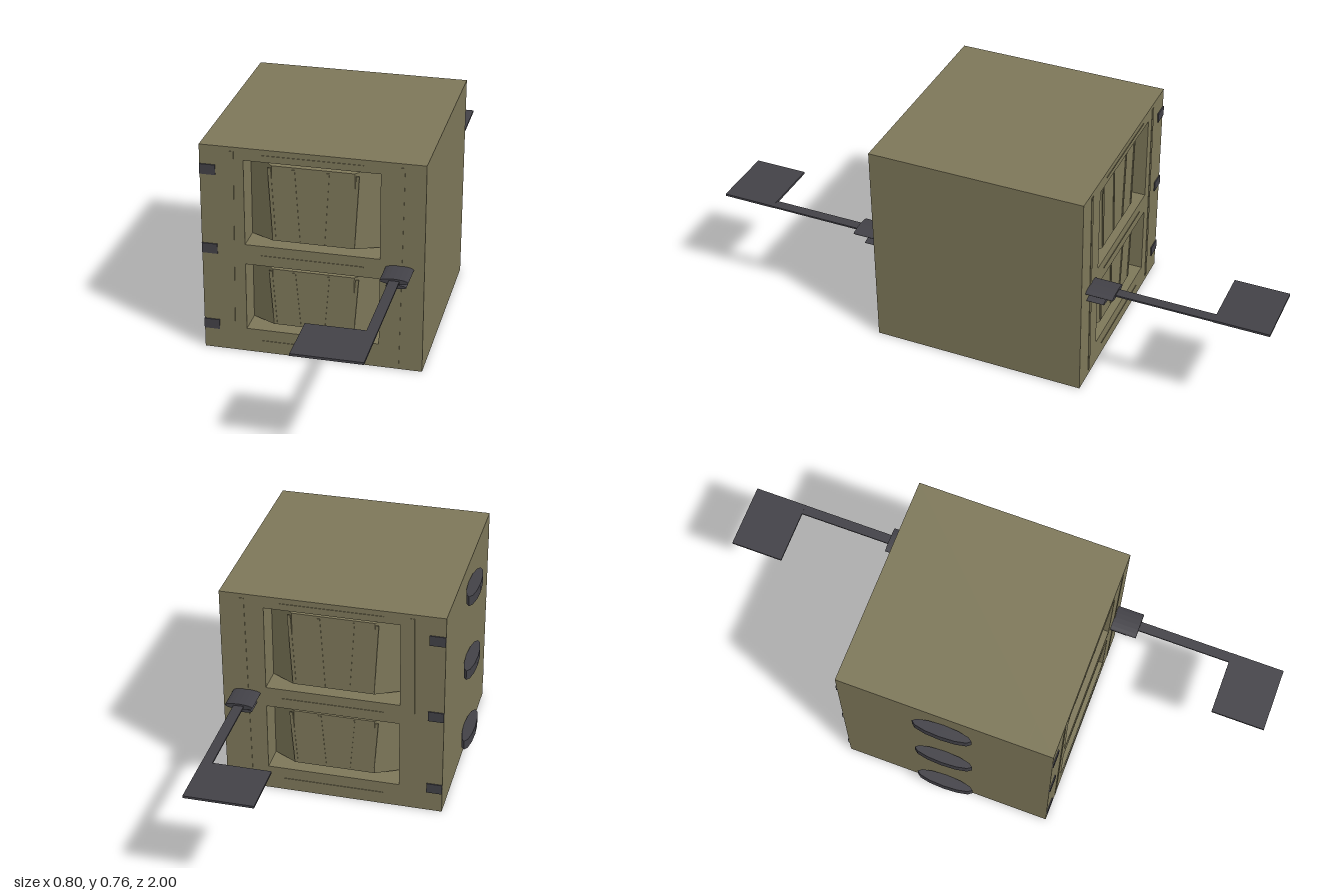
import * as THREE from 'three';
import { ConvexGeometry } from 'three/addons/geometries/ConvexGeometry.js';

const wood = new THREE.MeshStandardMaterial({ color: 0x7d7759, side: THREE.DoubleSide });
wood.name = 'olive wood';
const metal = new THREE.MeshStandardMaterial({ color: 0x424147 });
metal.name = 'dark metal';

// Body limits and recess geometry
const X0 = -0.36, X1 = 0.4, H = 0.76, Z = 0.38;
const INNER = 0.285, RAISED = 0.36, T = 0.002;
const RX0 = -0.21, RX1 = 0.25;
const panels = [
  { y0: 0.087, y1: 0.335, in0: 0.106, in1: 0.317, g0: 0.115, g1: 0.31 },
  { y0: 0.408, y1: 0.716, in0: 0.425, in1: 0.698, g0: 0.43, g1: 0.69 },
];

export function createModel() {
  const model = new THREE.Group();
  model.name = 'panelledDoorBlock';

  function add(parent, name, geometry, material) {
    const mesh = new THREE.Mesh(geometry, material);
    mesh.name = name;
    parent.add(mesh);
    return mesh;
  }

  // Box given by its limits on each axis
  function box(parent, name, material, x0, x1, y0, y1, z0, z1) {
    const g = new THREE.BoxGeometry(x1 - x0, y1 - y0, Math.abs(z1 - z0));
    g.translate((x0 + x1) / 2, (y0 + y1) / 2, (z0 + z1) / 2);
    return add(parent, name, g, material);
  }

  // Thin upright strip that leans from xBottom to xTop
  function grain(parent, xBottom, xTop, width, y0, y1, z) {
    const g = new THREE.BoxGeometry(width, y1 - y0, 0.004);
    const p = g.attributes.position;
    for (let i = 0; i < p.count; i++) {
      p.setX(i, p.getX(i) + (p.getY(i) > 0 ? xTop : xBottom));
    }
    g.translate(0, (y0 + y1) / 2, z);
    add(parent, 'grainStrip', g, wood);
  }

  // Flattened round boss pointing along z
  function boss(parent, name, x, y, rx, ry, length, s) {
    const g = new THREE.CylinderGeometry(1, 1, length, 16).toNonIndexed();
    g.rotateX(Math.PI / 2);
    g.scale(rx, ry, 1);
    g.computeVertexNormals();
    g.translate(x, y, s * (Z + length / 2));
    add(parent, name, g, metal);
  }

  // Side walls and top; the underside stays open
  box(model, 'hingeSideWall', wood, X0, X0 + T, 0, H, -Z, Z);
  box(model, 'handleSideWall', wood, X1 - T, X1, 0, H, -Z, Z);
  box(model, 'top', wood, X0, X1, H - T, H, -Z, Z);

  // One door face; s is +1 for the front and -1 for the back
  function doorFace(s) {
    const face = new THREE.Group();
    face.name = s > 0 ? 'frontDoor' : 'backDoor';
    model.add(face);

    // Outer skin with two panel openings
    const skin = new THREE.Shape([
      new THREE.Vector2(X0, 0), new THREE.Vector2(X1, 0),
      new THREE.Vector2(X1, H), new THREE.Vector2(X0, H),
    ]);
    for (const { y0, y1 } of panels) {
      skin.holes.push(new THREE.Path([
        new THREE.Vector2(RX0, y0), new THREE.Vector2(RX0, y1),
        new THREE.Vector2(RX1, y1), new THREE.Vector2(RX1, y0),
      ]));
    }
    add(face, 'doorSkin', new THREE.ShapeGeometry(skin), wood).position.z = s * Z;

    // Inner sheet and stile sides
    box(face, 'innerSheet', wood, X0, X1, 0, H, s * INNER, s * (INNER + T));
    const zEnd = Z - 0.0005;
    box(face, 'stileSide', wood, RX0 - T, RX0, 0, H - T, s * INNER, s * zEnd);
    box(face, 'stileSide', wood, RX1, RX1 + T, 0, H - T, s * INNER, s * zEnd);

    for (const { y0, y1, in0, in1, g0, g1 } of panels) {
      // Rail edges closing the recess
      box(face, 'railEdge', wood, RX0, RX1, y0 - T, y0, s * INNER, s * zEnd);
      box(face, 'railEdge', wood, RX0, RX1, y1, y1 + T, s * INNER, s * zEnd);

      // Raised panel with bevelled sides
      const points = [];
      for (const [xa, xb, ya, yb, z] of [
        [RX0, RX1, y0, y1, INNER + T],
        [-0.12, 0.16, in0, in1, RAISED],
      ]) {
        for (const x of [xa, xb]) for (const y of [ya, yb]) points.push(new THREE.Vector3(x, y, s * z));
      }
      add(face, 'raisedPanel', new ConvexGeometry(points), wood);

      for (const [xb, xt] of [[-0.113, -0.128], [-0.03, -0.047], [0.054, 0.07], [0.155, 0.17]]) {
        grain(face, xb, xt, 0.011, g0, g1, s * RAISED);
      }
    }

    // Grain on the stiles and rails
    grain(face, -0.259, -0.249, 0.014, 0.02, 0.745, s * Z);
    grain(face, 0.313, 0.323, 0.014, 0.02, 0.745, s * Z);
    for (const y of [0.045, 0.372, 0.739]) {
      box(face, 'railGrain', wood, -0.155, 0.195, y - 0.0015, y + 0.0015, s * (Z - 0.002), s * (Z + 0.002));
    }

    // Handle and lock
    boss(face, 'handleRose', 0.317, 0.382, 0.048, 0.01, 0.095, s);
    boss(face, 'lock', 0.317, 0.345, 0.035, 0.007, 0.06, s);
    box(face, 'handleStem', metal, 0.3, 0.335, 0.379, 0.385, s * 0.47, s * 0.82);
    box(face, 'handleLever', metal, 0.105, 0.335, 0.378, 0.386, s * 0.81, s * 1);
  }
  doorFace(1);
  doorFace(-1);

  // Hinges: long flattened barrel and a leaf on both door faces
  for (const y of [0.092, 0.382, 0.673]) {
    const hinge = new THREE.Group();
    hinge.name = 'hinge';
    model.add(hinge);
    const g = new THREE.CylinderGeometry(1, 1, 0.036, 12).toNonIndexed();
    g.scale(0.021, 1, 0.105);
    g.computeVertexNormals();
    g.translate(-0.381, y, 0);
    add(hinge, 'hingeBarrel', g, metal);
    for (const s of [1, -1]) {
      box(hinge, 'hingeLeaf', metal, X0, -0.306, y - 0.018, y + 0.018, s * (Z - 0.003), s * (Z + 0.004));
    }
  }

  return model;
}
